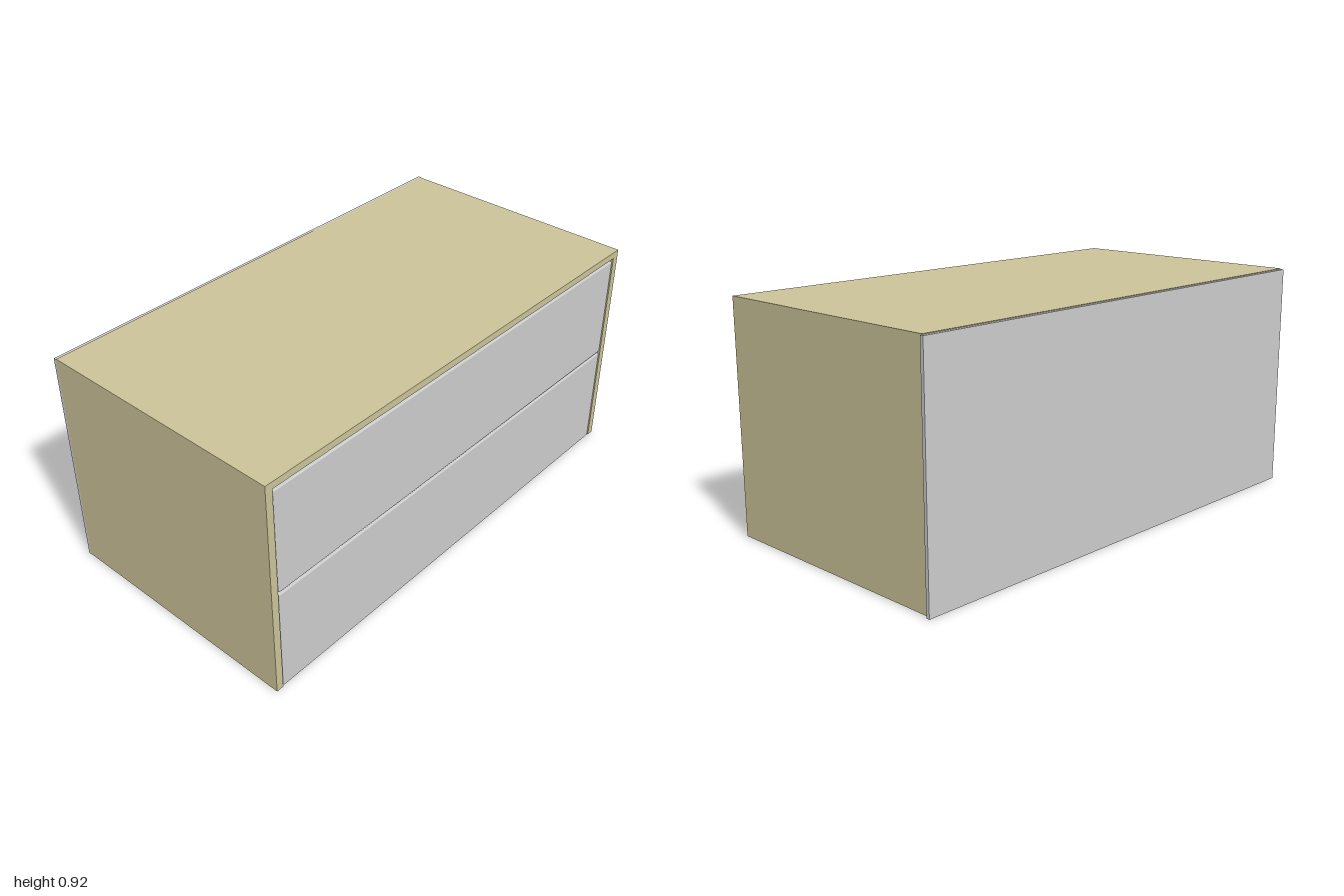
import * as THREE from 'three';
import { RoundedBoxGeometry } from 'three/addons/geometries/RoundedBoxGeometry.js';

const wood = new THREE.MeshStandardMaterial({ color: 0xcbc298 });
const grey = new THREE.MeshStandardMaterial({ color: 0xcccccc });

// Panel given by its low and high corner; a radius rounds its edges.
function panel(name, material, [x0, y0, z0], [x1, y1, z1], radius = 0) {
  const size = [x1 - x0, y1 - y0, z1 - z0];
  const geometry = radius
    ? new RoundedBoxGeometry(...size, 3, radius)
    : new THREE.BoxGeometry(...size);
  const mesh = new THREE.Mesh(geometry, material);
  mesh.name = name;
  mesh.position.set((x0 + x1) / 2, (y0 + y1) / 2, (z0 + z1) / 2);
  return mesh;
}

export function createModel() {
  const group = new THREE.Group();
  group.name = 'drawerCabinet';
  const front = 0.523, back = -0.509, left = 0.992, right = -1;
  const base = 0.003, top = 0.921, topUnder = 0.893;

  // Wooden carcass
  const carcass = new THREE.Group();
  carcass.name = 'carcass';
  carcass.add(
    panel('topPanel', wood, [right, topUnder, back], [left, top, front]),
    panel('rightSide', wood, [right, base, back], [right + 0.03, topUnder, front]),
    panel('leftSide', wood, [left - 0.03, base, back], [left, topUnder, front]),
    panel('floorPanel', wood, [right + 0.03, base, back], [left - 0.03, 0.03, 0.465]),
    panel('topRail', wood, [right + 0.03, 0.865, 0.44], [left - 0.03, topUnder, 0.465]),
    panel('rightFiller', wood, [right + 0.03, 0.03, 0.44], [right + 0.05, 0.865, 0.465])
  );
  group.add(carcass);

  // Thin back panel, standing slightly proud of the left side
  group.add(panel('backPanel', grey, [right, 0, -0.523], [1, 0.918, back]));

  // Two drawer fronts with softened edges
  for (const [name, y0, y1] of [['lowerDrawerFront', 0, 0.437], ['upperDrawerFront', 0.447, 0.879]]) {
    group.add(panel(name, grey, [-0.963, y0, 0.502], [0.961, y1, 0.52], 0.005));
  }
  return group;
}
